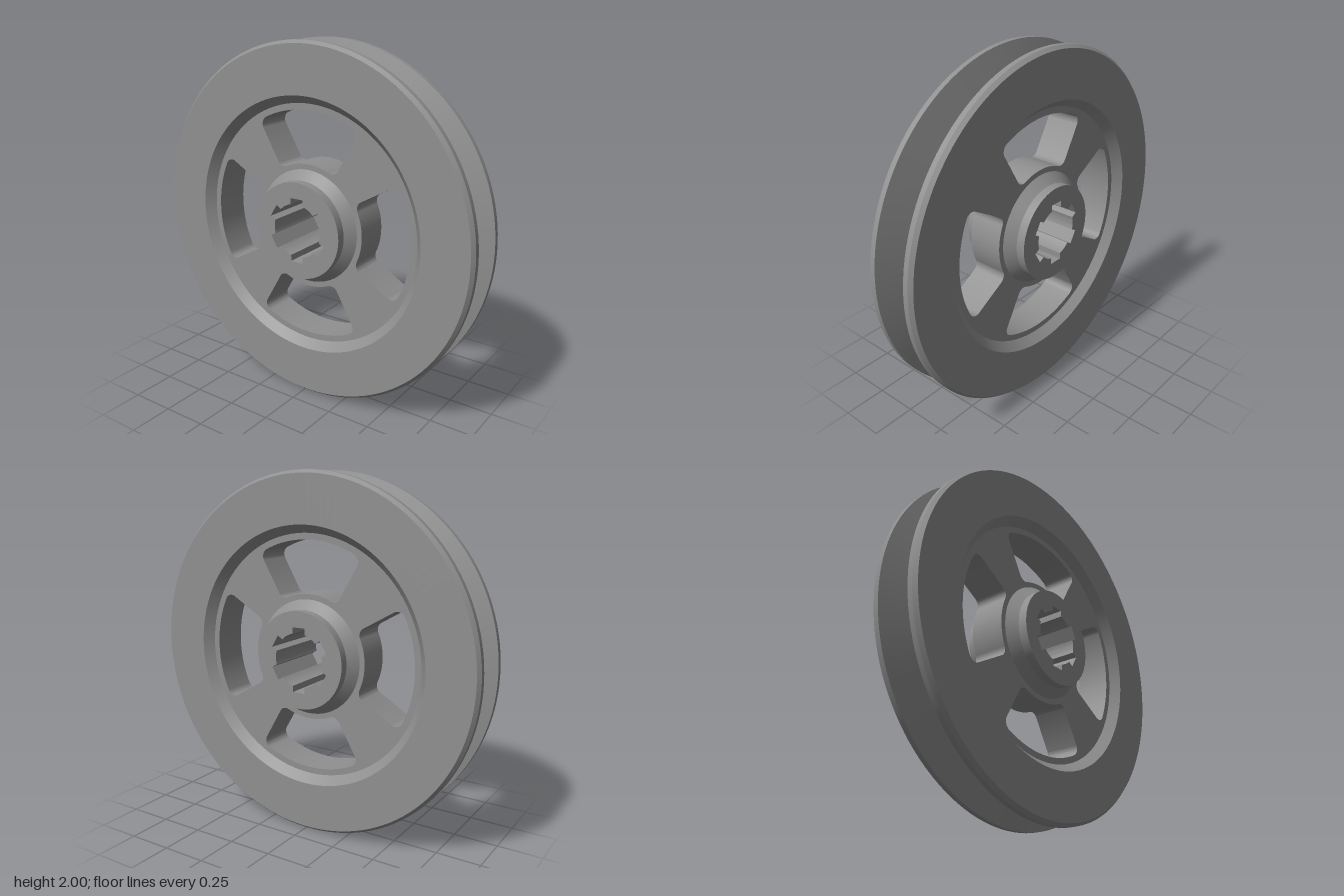
import * as THREE from 'three';
import { toCreasedNormals } from 'three/addons/utils/BufferGeometryUtils.js';

const CREASE = 0.35;

// Revolve a [radius, x] profile around the x axis
function revolve(points, segments) {
  const g = new THREE.LatheGeometry(points.map(([r, x]) => new THREE.Vector2(r, x)), segments);
  return toCreasedNormals(g.rotateZ(-Math.PI / 2), CREASE);
}

// Extrude a flat shape along x, centred on x = 0
function plate(shape, width) {
  const g = new THREE.ExtrudeGeometry(shape, { depth: width, bevelEnabled: false, curveSegments: 32 });
  return toCreasedNormals(g.translate(0, 0, -width / 2).rotateY(Math.PI / 2), CREASE);
}

function disc(radius) {
  return new THREE.Shape().absarc(0, 0, radius, 0, Math.PI * 2, false);
}

// Sector window with radial sides and rounded corners
function windowPath(c) {
  const inner = 0.35, outer = 0.64, f = 0.045, half = Math.PI / 6, q = Math.PI / 2;
  const ro = outer - f, ri = inner + f;
  const ao = half - Math.asin(f / ro), ai = half - Math.asin(f / ri);
  const p = new THREE.Path();
  const corner = (r, a, from, to) => p.absarc(r * Math.cos(a), r * Math.sin(a), f, from, to, false);
  p.absarc(0, 0, outer, c - ao, c + ao, false);
  corner(ro, c + ao, c + ao, c + half + q);
  corner(ri, c + ai, c + half + q, c + ai + 2 * q);
  p.absarc(0, 0, inner, c + ai, c - ai, true);
  corner(ri, c - ai, c - ai + 2 * q, c - half + 3 * q);
  corner(ro, c - ao, c - half - q, c - ao);
  return p;
}

// Round bore with six rectangular keyways
function splinePath() {
  const bore = 0.15, tip = 0.18, w = 0.039, a = Math.asin(w / bore);
  const p = new THREE.Path();
  for (let i = 0; i < 6; i++) {
    const c = Math.PI / 2 + i * Math.PI / 3;
    const at = (r, s) => [r * Math.cos(c) - s * Math.sin(c), r * Math.sin(c) + s * Math.cos(c)];
    if (i === 0) p.moveTo(...at(tip, -w));
    else p.lineTo(...at(tip, -w));
    p.lineTo(...at(tip, w));
    p.absarc(0, 0, bore, c + a, c + Math.PI / 3 - a, false);
  }
  p.closePath();
  return p;
}

export function createModel() {
  const model = new THREE.Group();
  model.name = 'pulley';
  const metal = new THREE.MeshStandardMaterial({ color: 0x909090 });
  metal.name = 'grey metal';
  const add = (name, geometry) => {
    const mesh = new THREE.Mesh(geometry, metal);
    mesh.name = name;
    mesh.position.y = 1;
    model.add(mesh);
  };

  // Rim with V groove, chamfered lips and sloped inner shoulders
  const side = [[0.8, 0.05], [1, 0.1], [1, 0.13], [0.983, 0.15], [0.72, 0.15], [0.675, 0.1]];
  const mirrored = side.map(([r, x]) => [r, -x]).reverse();
  add('grooved rim', revolve([...mirrored, ...side], 128));

  // Web with four windows, leaving four spokes
  const web = disc(0.69);
  web.holes.push(disc(0.29));
  for (let i = 0; i < 4; i++) web.holes.push(windowPath(i * Math.PI / 2));
  add('spoked web', plate(web, 0.2));

  // Sloped collar where the hub meets the web
  add('hub collar', revolve([[0.27, -0.15], [0.32, -0.1], [0.32, 0.1], [0.27, 0.15]], 64));

  // Hub with splined bore
  const hub = disc(0.27);
  hub.holes.push(splinePath());
  add('splined hub', plate(hub, 0.4));

  return model;
}
